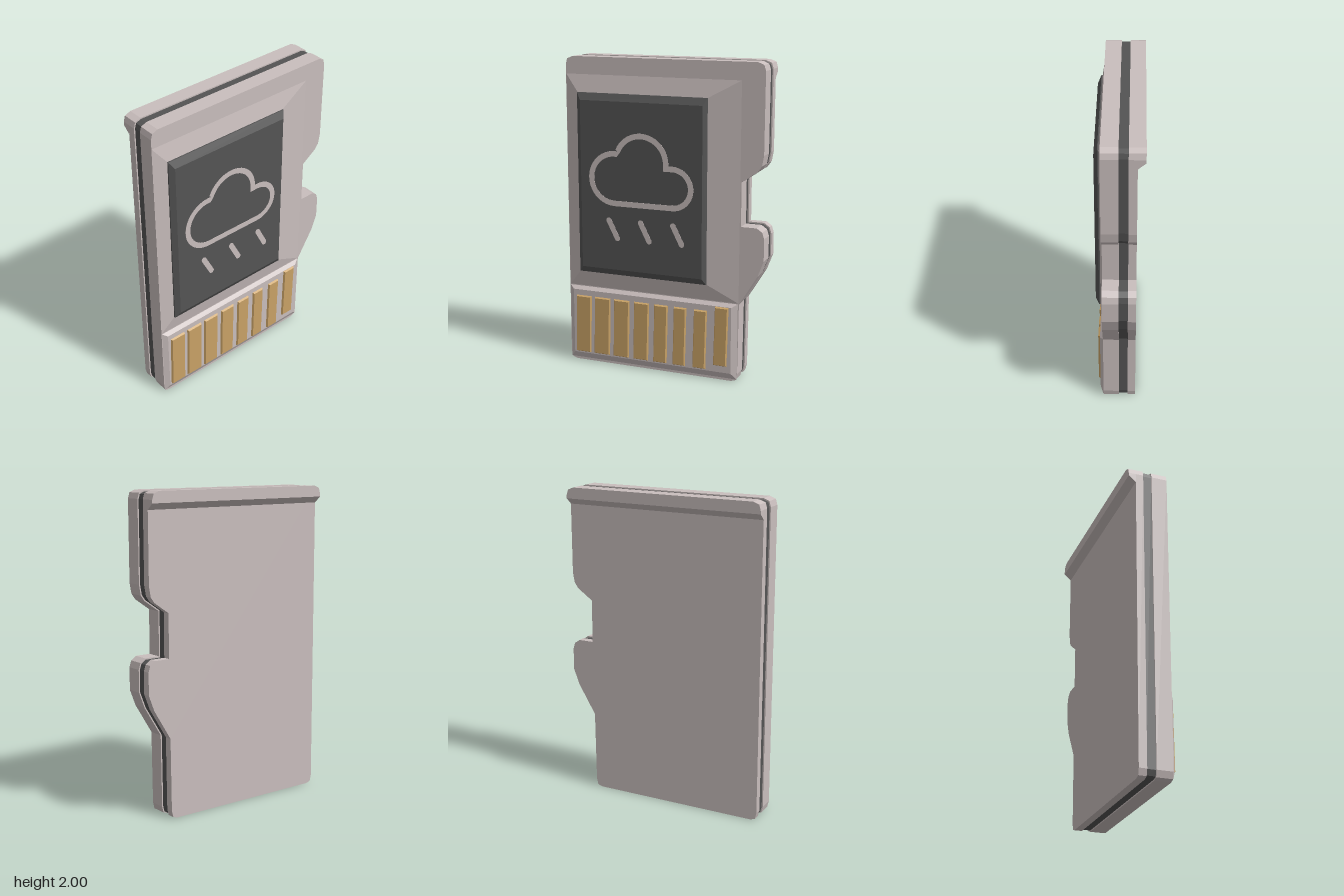
import * as THREE from 'three';

const shell = new THREE.MeshStandardMaterial({ color: 0xc9bebd });
shell.name = 'pale shell';
const dark = new THREE.MeshStandardMaterial({ color: 0x545454 });
dark.name = 'dark grey';
const gold = new THREE.MeshStandardMaterial({ color: 0xc9a266 });
gold.name = 'contact gold';

// Card silhouette, counterclockwise
const outline = [
  [-0.62, 0], [0.46, 0], [0.49, 0.01], [0.5, 0.05], [0.505, 0.51], [0.62, 0.7], [0.658, 0.8],
  [0.658, 0.94], [0.645, 0.98], [0.61, 1.004], [0.51, 1.004], [0.51, 1.28], [0.61, 1.35],
  [0.635, 1.385], [0.647, 1.45], [0.648, 1.95], [0.637, 1.985], [0.6, 2], [-0.61, 2],
  [-0.648, 1.985], [-0.658, 1.95], [-0.66, 0.05], [-0.65, 0.01],
];

// Moves every side of a closed polygon inward by d
function inset(pts, d) {
  const n = pts.length;
  const normal = (a, b) => new THREE.Vector2(a[1] - b[1], b[0] - a[0]).normalize();
  return pts.map((p, i) => {
    const n1 = normal(pts[(i + n - 1) % n], p), n2 = normal(p, pts[(i + 1) % n]);
    const k = d / (1 + n1.dot(n2));
    return [p[0] + (n1.x + n2.x) * k, p[1] + (n1.y + n2.y) * k];
  });
}

const toShape = (pts) => new THREE.Shape(pts.map(([x, y]) => new THREE.Vector2(x, y)));

function add(group, name, geometry, material) {
  const mesh = new THREE.Mesh(geometry, material);
  mesh.name = name;
  group.add(mesh);
}

// Flat plate between two depths
function plate(shape, z0, z1) {
  return new THREE.ExtrudeGeometry(shape, { depth: z1 - z0, bevelEnabled: false, curveSegments: 16 })
    .translate(0, 0, z0);
}

// Tapered block: convex loop a at z0 joined to loop b at z1, capped at b
function taper(a, b, z0, z1) {
  const pos = [], n = a.length;
  const tri = (p, q, r) => pos.push(...(z1 > z0 ? [p, q, r] : [p, r, q]).flat());
  const A = a.map((p) => [...p, z0]), B = b.map((p) => [...p, z1]);
  for (let i = 0; i < n; i++) {
    const j = (i + 1) % n;
    tri(A[i], A[j], B[j]);
    tri(A[i], B[j], B[i]);
    if (i > 0 && i < n - 1) tri(B[0], B[i], B[j]);
  }
  const g = new THREE.BufferGeometry();
  g.setAttribute('position', new THREE.Float32BufferAttribute(pos, 3));
  g.computeVertexNormals();
  return g;
}

const rect = (x0, y0, x1, y1) => [[x0, y0], [x1, y0], [x1, y1], [x0, y1]];

// Cloud contour: three lobes, grown or shrunk by d
function cloudPoints(d) {
  const pts = [];
  const arc = (x, y, r, from, to) => {
    for (let i = 0; i <= 20; i++) {
      const t = THREE.MathUtils.degToRad(from + ((to - from) * i) / 20);
      pts.push([x + (r + d) * Math.cos(t), y + (r + d) * Math.sin(t)]);
    }
  };
  arc(0.08, 1.215, 0.122, -90, 90);
  pts.push([-0.13 + 0.168 + d, 1.215 + 0.122 + d]);
  arc(-0.13, 1.36, 0.168, 2, 156);
  arc(-0.308, 1.251, 0.158, 83, 270);
  return pts;
}

// Slanted round-ended stroke
function strokeShape(x0, y0, x1, y1, r) {
  const t = Math.atan2(y1 - y0, x1 - x0);
  const s = new THREE.Shape();
  s.absarc(x1, y1, r, t - Math.PI / 2, t + Math.PI / 2, false);
  s.absarc(x0, y0, r, t + Math.PI / 2, t + Math.PI * 1.5, false);
  s.closePath();
  return s;
}

export function createModel() {
  const card = new THREE.Group();
  card.name = 'memoryCard';

  // Layered body
  add(card, 'frontShell', plate(toShape(outline), 0, 0.1), shell);
  add(card, 'core', plate(toShape(inset(outline, 0.008)), -0.056, 0.001), dark);
  add(card, 'backShell', plate(toShape(outline), -0.104, -0.055), shell);

  // Finger lip across the top of the back
  const corner = outline.slice(15, 21);
  add(card, 'backLip', taper(
    [[-0.659, 1.89], [0.648, 1.89], ...corner],
    [[-0.659, 1.93], [0.648, 1.93], ...corner], -0.103, -0.15), shell);

  // Sloped surrounds for the label and the contacts
  add(card, 'labelSurround', taper(
    rect(-0.657, 0.515, 0.502, 1.89), rect(-0.57, 0.62, 0.297, 1.78), 0.1, 0.12), shell);
  add(card, 'contactPad', taper(
    rect(-0.656, 0.015, 0.498, 0.51), rect(-0.625, 0.055, 0.462, 0.488), 0.1, 0.12), shell);

  // Bevelled label
  const labelEdge = rect(-0.57, 0.62, 0.297, 1.78);
  add(card, 'labelBase', plate(toShape(labelEdge), 0.115, 0.128), dark);
  add(card, 'label', taper(labelEdge, rect(-0.54, 0.66, 0.275, 1.735), 0.128, 0.15), dark);

  // Rain cloud emblem
  const emblem = new THREE.Group();
  emblem.name = 'weatherEmblem';
  const cloud = toShape(cloudPoints(0.0175));
  cloud.holes.push(toShape(cloudPoints(-0.0175)));
  add(emblem, 'cloudOutline', plate(cloud, 0.149, 0.152), shell);
  for (const x of [-0.35, -0.133, 0.085]) {
    add(emblem, 'rainStroke', plate(strokeShape(x, 0.982, x + 0.058, 0.867, 0.0175), 0.149, 0.152), shell);
  }
  card.add(emblem);

  // Gold contacts: left edge at the bottom, width, lift
  const contacts = [
    [-0.615, 0.112, 0], [-0.483, 0.115, 0], [-0.345, 0.112, 0], [-0.204, 0.107, 0],
    [-0.064, 0.096, 0], [0.07, 0.088, 0], [0.206, 0.09, 0], [0.345, 0.092, 0.035],
  ];
  for (const [x, w, lift] of contacts) {
    const y0 = 0.062 + lift, y1 = 0.452 + lift;
    const base = [[x, y0], [x + w, y0], [x + w + 0.009, y1], [x + 0.009, y1]];
    add(card, 'contact', taper(base, inset(base, 0.008), 0.118, 0.132), gold);
  }
  return card;
}
